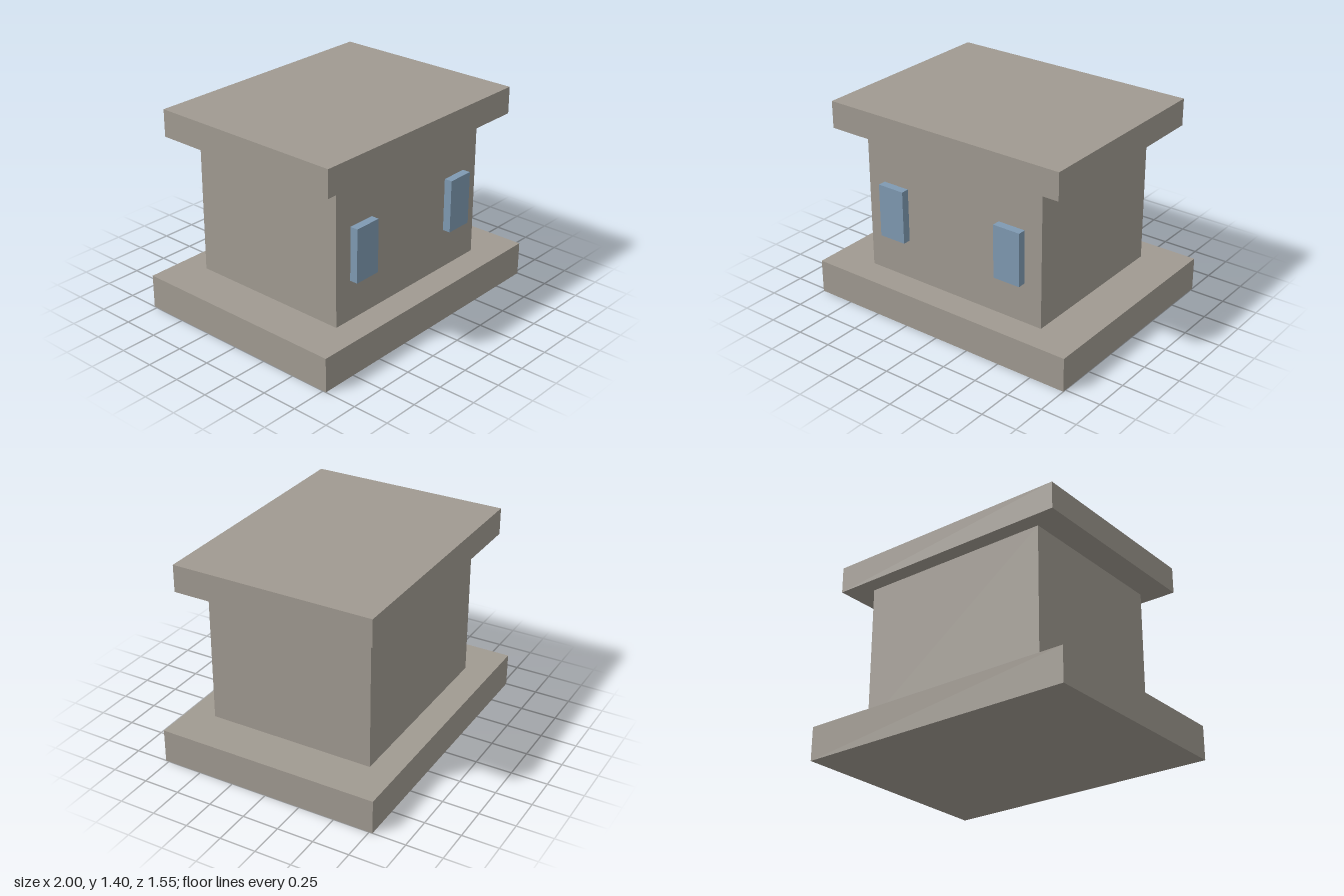
import * as THREE from 'three';

export function createModel() {
  const model = new THREE.Group();
  model.name = 'house';
  const stone = new THREE.MeshStandardMaterial({ name: 'stone', color: 0xa09a91 });
  const glass = new THREE.MeshStandardMaterial({ name: 'blueGlass', color: 0x7f9ab2 });

  // Box given by its width, depth and vertical extent
  function block(name, material, width, depth, bottom, top, x = 0, z = 0) {
    const mesh = new THREE.Mesh(new THREE.BoxGeometry(width, top - bottom, depth), material);
    mesh.name = name;
    mesh.position.set(x, (bottom + top) / 2, z);
    model.add(mesh);
  }

  // Stacked slabs
  block('base', stone, 2, 1.546, 0, 0.235);
  block('walls', stone, 1.386, 1.165, 0.235, 1.217);
  block('roof', stone, 1.772, 1.39, 1.217, 1.403);

  // Pair of projecting windows on the front wall
  for (const [name, side] of [['leftWindow', 1], ['rightWindow', -1]]) {
    block(name, glass, 0.198, 0.056, 0.513, 0.883, side * 0.465, 0.61);
  }

  return model;
}
